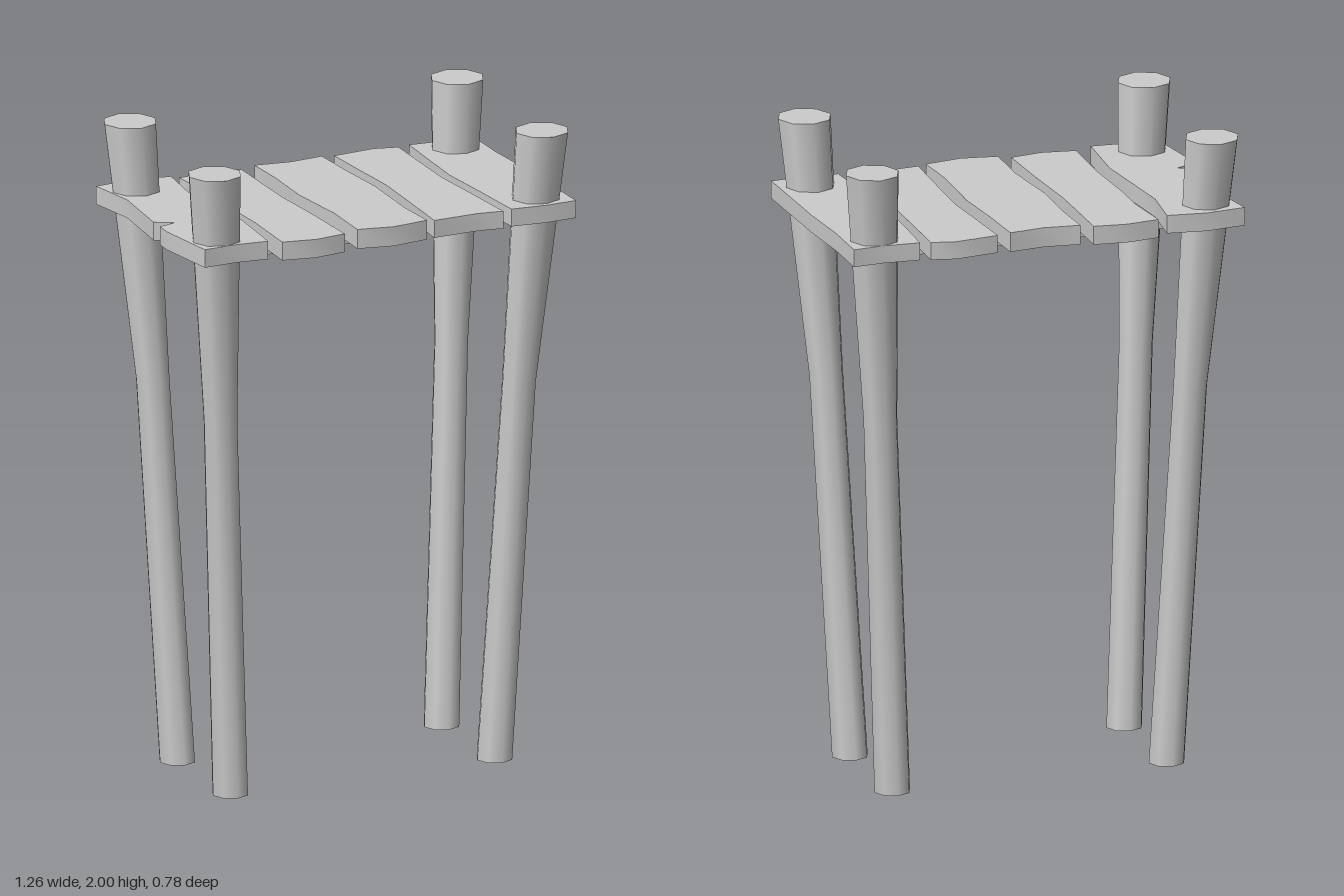
import * as THREE from 'three';
import { toCreasedNormals } from 'three/addons/utils/BufferGeometryUtils.js';

const material = new THREE.MeshStandardMaterial({ color: 0xcccccc });
const openMaterial = new THREE.MeshStandardMaterial({ color: 0xcccccc, side: THREE.DoubleSide });

function addMesh(parent, name, geometry, mat = material) {
  const mesh = new THREE.Mesh(geometry, mat);
  mesh.name = name;
  parent.add(mesh);
  return mesh;
}

// Leg stations: height, radius, centre x, centre z (for the +x +z corner)
const STATIONS = [
  [0, 0.057, 0.44, 0.19],
  [1.2, 0.054, 0.497, 0.243],
  [2, 0.084, 0.545, 0.304],
];

// Octagonal post, open at the foot, leaning outward and flaring to the top
function legGeometry(sx, sz) {
  const profile = STATIONS.map(([y, r]) => new THREE.Vector2(r, y));
  profile.push(new THREE.Vector2(0, 2));
  const geo = new THREE.LatheGeometry(profile, 8);
  const pos = geo.attributes.position;
  for (let i = 0; i < pos.count; i++) {
    const [, , cx, cz] = STATIONS.find(s => Math.abs(s[0] - pos.getY(i)) < 1e-4);
    pos.setX(i, pos.getX(i) + sx * cx);
    pos.setZ(i, pos.getZ(i) + sz * cz);
  }
  return toCreasedNormals(geo, 1.05);
}

// Uneven plank outlines as [x, z], with bottom and top heights
const PLANKS = [
  { y: [1.73, 1.787], outline: [
    [-0.627, -0.37], [-0.5, -0.385], [-0.378, -0.368], [-0.4, -0.2], [-0.392, -0.08], [-0.376, 0.14],
    [-0.397, 0.37], [-0.5, 0.362], [-0.608, 0.37], [-0.634, 0.15], [-0.63, 0.095], [-0.57, 0.075],
    [-0.628, 0.045], [-0.602, -0.2]] },
  { y: [1.72, 1.778], outline: [
    [-0.35, -0.37], [-0.245, -0.383], [-0.142, -0.37], [-0.148, -0.2], [-0.152, -0.06], [-0.144, 0.15],
    [-0.142, 0.37], [-0.245, 0.387], [-0.35, 0.37], [-0.339, 0.15], [-0.342, -0.05], [-0.337, -0.2]] },
  { y: [1.725, 1.786], outline: [
    [-0.1, -0.37], [0.013, -0.356], [0.125, -0.37], [0.129, -0.2], [0.139, -0.02], [0.126, 0.22],
    [0.132, 0.37], [0.013, 0.39], [-0.1, 0.37], [-0.092, 0.19], [-0.108, -0.03], [-0.098, -0.22]] },
  { y: [1.727, 1.782], outline: [
    [0.166, -0.37], [0.305, -0.388], [0.38, -0.37], [0.373, -0.2], [0.366, -0.03], [0.376, 0.15],
    [0.386, 0.37], [0.305, 0.36], [0.156, 0.37], [0.17, 0.15], [0.18, -0.03], [0.172, -0.2]] },
  { y: [1.73, 1.785], outline: [
    [0.415, -0.37], [0.53, -0.362], [0.627, -0.37], [0.622, -0.2], [0.63, 0], [0.628, 0.37],
    [0.53, 0.378], [0.413, 0.37], [0.403, 0.15], [0.393, -0.03], [0.403, -0.2]] },
];

function plankGeometry({ y: [bottom, top], outline }) {
  const shape = new THREE.Shape(outline.map(([x, z]) => new THREE.Vector2(x, -z)));
  const geo = new THREE.ExtrudeGeometry(shape, { depth: top - bottom, bevelEnabled: false });
  geo.rotateX(-Math.PI / 2).translate(0, bottom, 0);
  return toCreasedNormals(geo, 0.7);
}

export function createModel() {
  const model = new THREE.Group();
  model.name = 'plankPlatform';

  // Four posts
  for (const [sx, side] of [[1, 'Left'], [-1, 'Right']]) {
    for (const [sz, end] of [[1, 'front'], [-1, 'back']]) {
      addMesh(model, `${end}${side}Leg`, legGeometry(sx, sz), openMaterial);
    }
  }

  // Deck planks
  const deck = new THREE.Group();
  deck.name = 'deck';
  PLANKS.forEach((plank, i) => addMesh(deck, `plank${i + 1}`, plankGeometry(plank)));
  model.add(deck);

  // Two support boards under the planks
  for (const [z, name] of [[0.171, 'frontSupport'], [-0.163, 'backSupport']]) {
    addMesh(model, name, new THREE.BoxGeometry(0.93, 0.035, 0.1)).position.set(0, 1.713, z);
  }

  return model;
}
